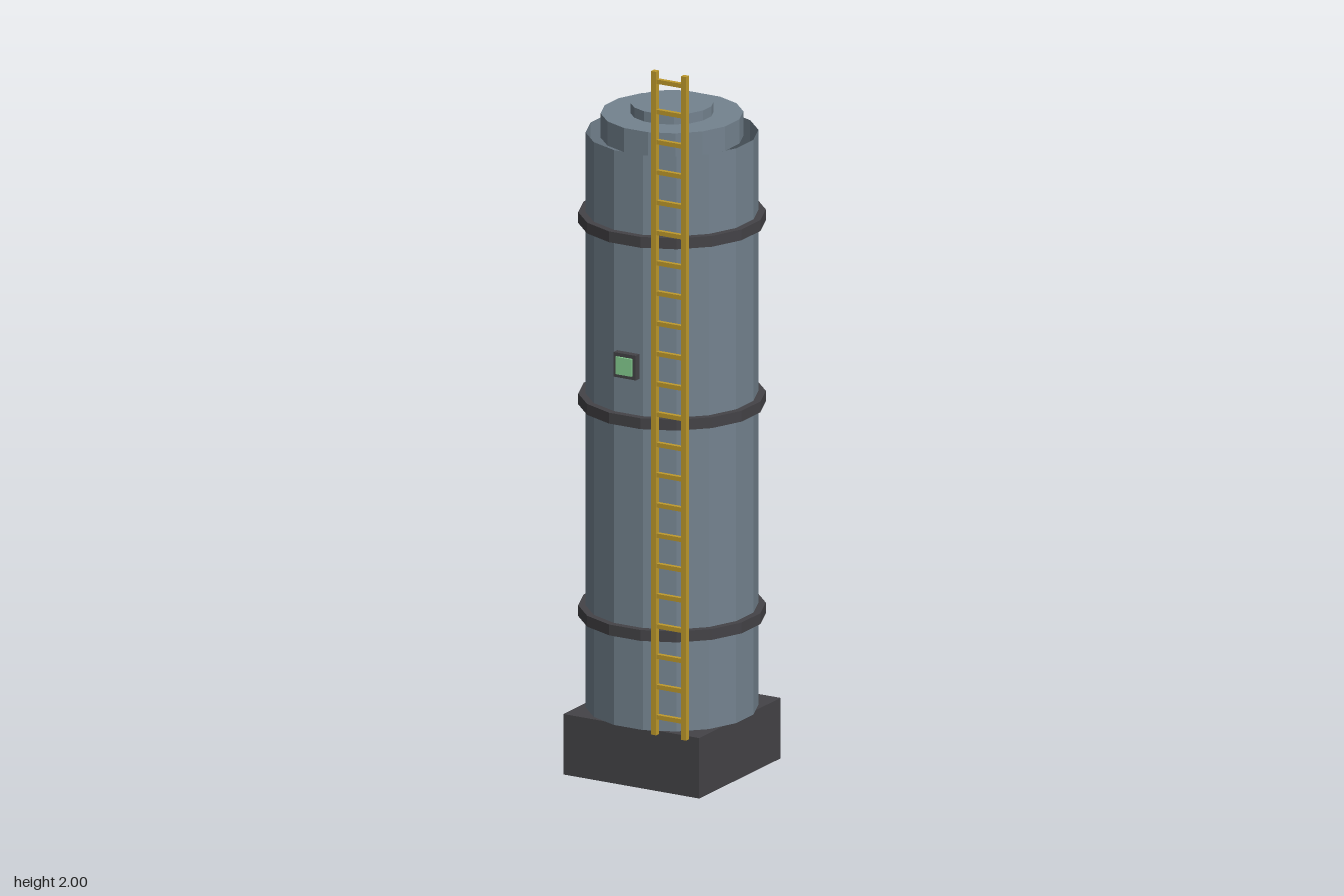
import * as THREE from 'three';

const SIDES = 16;
const TURN = Math.PI / SIDES; // puts a flat facet towards each axis
const CZ = -0.005; // depth of the tank axis

function material(name, color, side = THREE.FrontSide) {
  const m = new THREE.MeshStandardMaterial({ color, flatShading: true, side });
  m.name = name;
  return m;
}

export function createModel() {
  const group = new THREE.Group();
  const steel = material('blueGreySteel', 0x74838f, THREE.DoubleSide);
  const dark = material('darkGrey', 0x444347);
  const yellow = material('safetyYellow', 0xbf9a2c);
  const green = material('indicatorGreen', 0x86d092);

  const add = (name, geometry, mat, x, y, z, parent = group) => {
    const mesh = new THREE.Mesh(geometry, mat);
    mesh.name = name;
    mesh.position.set(x, y, z);
    parent.add(mesh);
    return mesh;
  };
  const box = (name, mat, [x0, x1], [y0, y1], [z0, z1], parent) =>
    add(name, new THREE.BoxGeometry(x1 - x0, y1 - y0, z1 - z0), mat,
      (x0 + x1) / 2, (y0 + y1) / 2, (z0 + z1) / 2, parent);
  // apothem is the distance from the axis to the middle of a facet
  const drum = (name, apothem, y0, y1, open) =>
    add(name, new THREE.CylinderGeometry(apothem / Math.cos(TURN), apothem / Math.cos(TURN),
      y1 - y0, SIDES, 1, open, TURN), steel, 0, (y0 + y1) / 2, CZ);

  // Plinth and tank; the tank wall is an open tube
  box('base', dark, [-0.209, 0.209], [0, 0.167], [CZ - 0.209, CZ + 0.209]);
  drum('tankWall', 0.224, 0.167, 1.755, true);
  drum('lid', 0.185, 1.74, 1.807, false);
  drum('hatch', 0.108, 1.8, 1.835, false);

  // Bands around the tank
  const k = 1 / Math.cos(TURN);
  const profile = [[0.222, -0.015], [0.243, -0.015], [0.243, 0.015], [0.222, 0.015], [0.222, -0.015]]
    .map(([r, y]) => new THREE.Vector2(r * k, y));
  const bandGeometry = new THREE.LatheGeometry(profile, SIDES, TURN);
  for (const y of [0.434, 1.019, 1.52]) add('band', bandGeometry, dark, 0, y, CZ);

  // Brackets set into the right-hand wall
  for (const y of [0.338, 1.505]) {
    box('bracket', yellow, [-0.23, -0.18], [y, y + 0.08], [-0.05, 0.016]);
  }

  // Status light
  box('lightFrame', dark, [-0.034, 0.034], [1.136, 1.204], [0.21, 0.238]);
  box('statusLight', green, [-0.024, 0.024], [1.146, 1.194], [0.236, 0.244]);

  // Ladder
  const ladder = new THREE.Group();
  ladder.name = 'ladder';
  group.add(ladder);
  for (const x of [0.083, 0.175]) {
    box('ladderRail', yellow, [x, x + 0.016], [0.167, 2], [0.226, 0.242], ladder);
  }
  for (let i = 0; i < 22; i++) {
    const y = 0.217 + i * 0.0836;
    box('ladderRung', yellow, [0.09, 0.184], [y - 0.006, y + 0.006], [0.228, 0.24], ladder);
  }
  return group;
}
